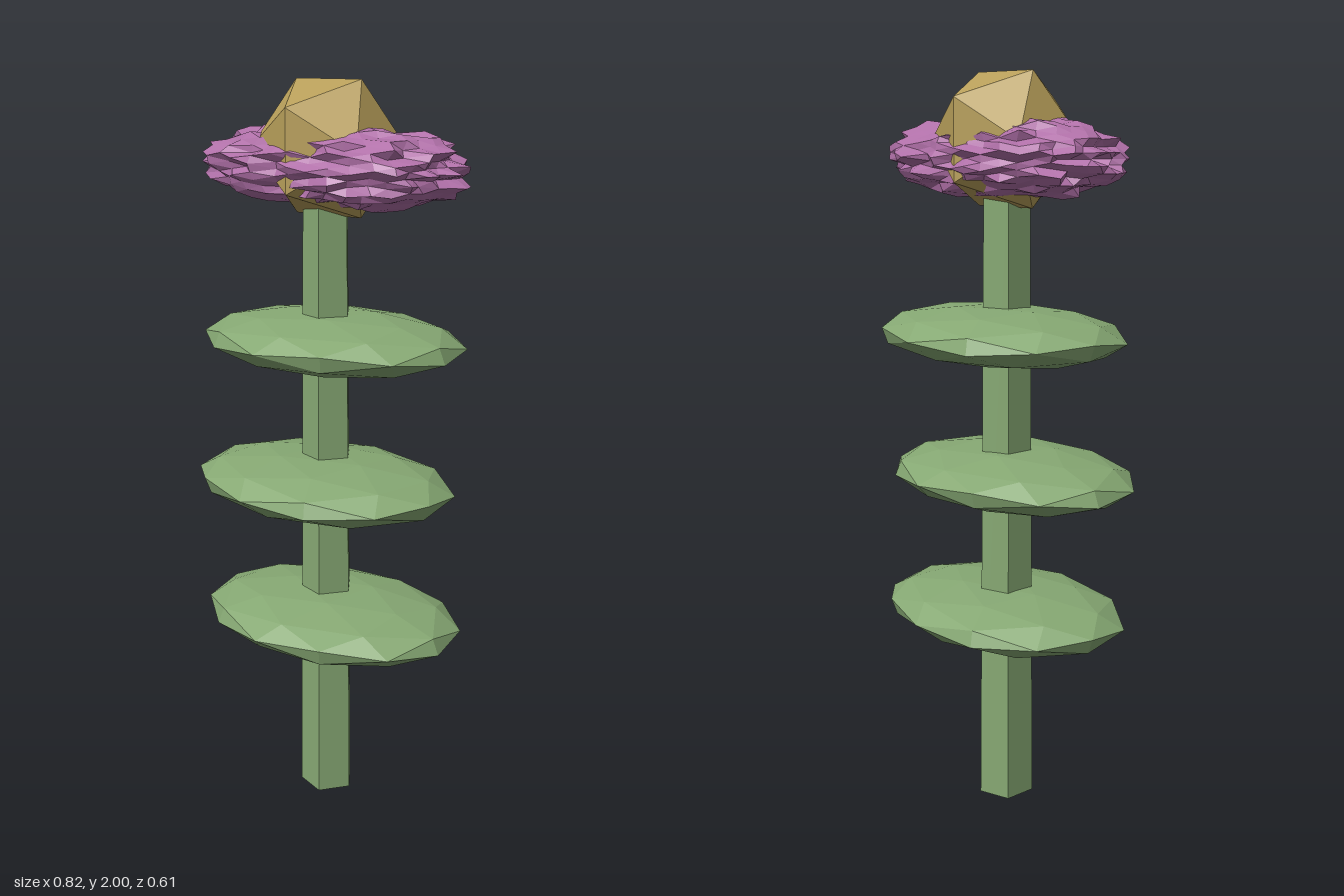
import * as THREE from 'three';

const material = (color) => new THREE.MeshStandardMaterial({ color, flatShading: true });
const green = material(0x86a873);
const purple = material(0xb070a8);
const gold = material(0xb89f5a);

// Repeatable 0..1 value from a position, so shared corners stay joined
function hash(v) {
  const n = Math.sin(Math.round(v.x * 500) * 12.9898 + Math.round(v.y * 500) * 78.233 + Math.round(v.z * 500) * 37.719) * 43758.5453;
  return n - Math.floor(n);
}

// Move every vertex by a rule and refresh the facets
function reshape(geometry, rule) {
  const pos = geometry.attributes.position;
  const v = new THREE.Vector3();
  for (let i = 0; i < pos.count; i++) {
    rule(v.fromBufferAttribute(pos, i));
    pos.setXYZ(i, v.x, v.y, v.z);
  }
  geometry.computeVertexNormals();
  return geometry;
}

export function createModel() {
  const group = new THREE.Group();
  const add = (name, geometry, mat, x, y, z) => {
    const mesh = new THREE.Mesh(geometry, mat);
    mesh.name = name;
    mesh.position.set(x, y, z);
    group.add(mesh);
  };

  // Five-sided tapering stem with one corner towards +x
  add('stem', new THREE.CylinderGeometry(0.064, 0.078, 1.76, 5).rotateY(Math.PI / 2), green, -0.017, 0.88, 0);

  // Three flattened leaf discs, each lying on a facet and turned differently
  const faceUp = new THREE.Quaternion().setFromUnitVectors(
    new THREE.Vector3(1, 1, 1).normalize(), new THREE.Vector3(0, 1, 0));
  const leaves = [
    [0.005, 0.54, 0.012, 0.3],
    [-0.017, 0.93, 0.02, 1.3],
    [-0.017, 1.32, -0.02, 2.4],
  ];
  for (const [x, y, z, turn] of leaves) {
    const leaf = new THREE.IcosahedronGeometry(1, 1).applyQuaternion(faceUp).rotateY(turn).scale(0.393, 0.078, 0.285);
    add('leaf', leaf, green, x, y, z);
  }

  // Long spiky blossom: a blunt ellipsoid with jagged corners
  const blossom = reshape(new THREE.IcosahedronGeometry(1, 6), (v) => {
    const p = 2.6;
    const blunt = Math.pow(Math.pow(Math.abs(v.x), p) + Math.pow(Math.hypot(v.y, v.z), p), -1 / p);
    v.multiplyScalar(blunt * (0.84 + 0.2 * hash(v)));
    v.set(v.x * 0.4, v.y * 0.108, v.z * 0.187);
  });
  add('blossom', blossom, purple, 0, 1.782, 0);

  // Faceted flower centre
  add('flowerCentre', new THREE.IcosahedronGeometry(0.203, 0), gold, -0.013, 1.827, 0);

  return group;
}
